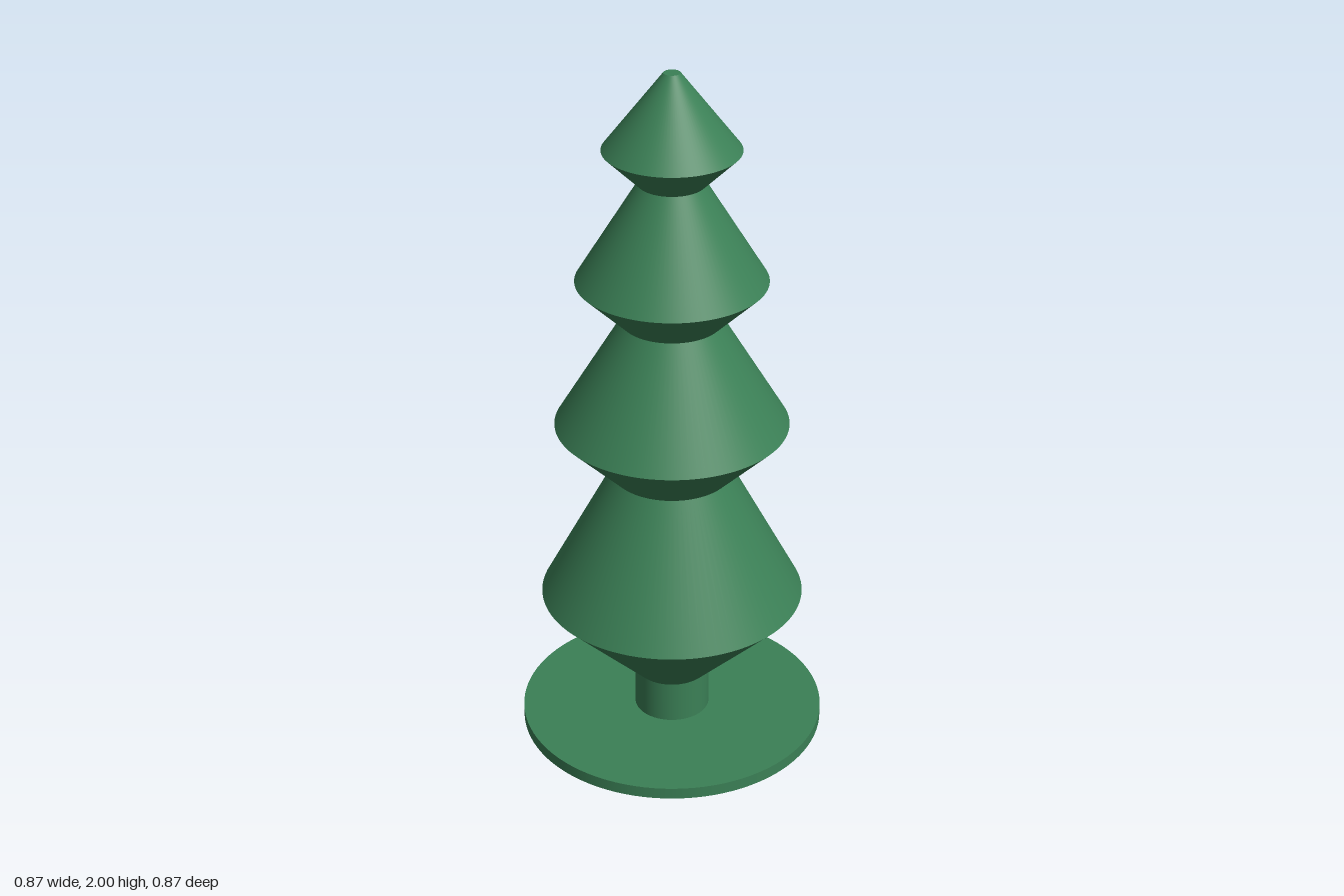
import * as THREE from 'three';

const SEGMENTS = 96;

export function createModel() {
  const group = new THREE.Group();
  const green = new THREE.MeshStandardMaterial({ color: 0x3b8056 });
  green.name = 'fir green';

  // One smooth-sided ring between two heights, with crisp edges at its rims
  const addFrustum = (parent, name, [r0, y0], [r1, y1], open) => {
    const geometry = new THREE.CylinderGeometry(r1, r0, y1 - y0, SEGMENTS, 1, open);
    const mesh = new THREE.Mesh(geometry, green);
    mesh.name = name;
    mesh.position.y = (y0 + y1) / 2;
    parent.add(mesh);
  };

  // Flat round stand and short trunk
  addFrustum(group, 'base', [0.437, 0], [0.437, 0.034], false);
  addFrustum(group, 'trunk', [0.108, 0.034], [0.108, 0.159], true);

  // Four foliage tiers: [radius, height] at the waist, the rim and the top
  const tiers = [
    [[0.108, 0.159], [0.374, 0.428], [0.17, 0.815]],
    [[0.17, 0.815], [0.327, 0.972], [0.14, 1.286]],
    [[0.14, 1.286], [0.264, 1.408], [0.092, 1.691]],
    [[0.092, 1.691], [0.188, 1.786], [0.023, 2]],
  ];
  tiers.forEach(([waist, rim, top], i) => {
    const tier = new THREE.Group();
    tier.name = `foliageTier${i + 1}`;
    addFrustum(tier, 'underside', waist, rim, true);
    addFrustum(tier, 'slope', rim, top, true);
    group.add(tier);
  });

  // Small flat tip
  const tip = new THREE.Mesh(new THREE.CircleGeometry(0.023, SEGMENTS), green);
  tip.name = 'tip';
  tip.rotation.x = -Math.PI / 2;
  tip.position.y = 2;
  group.add(tip);

  return group;
}
